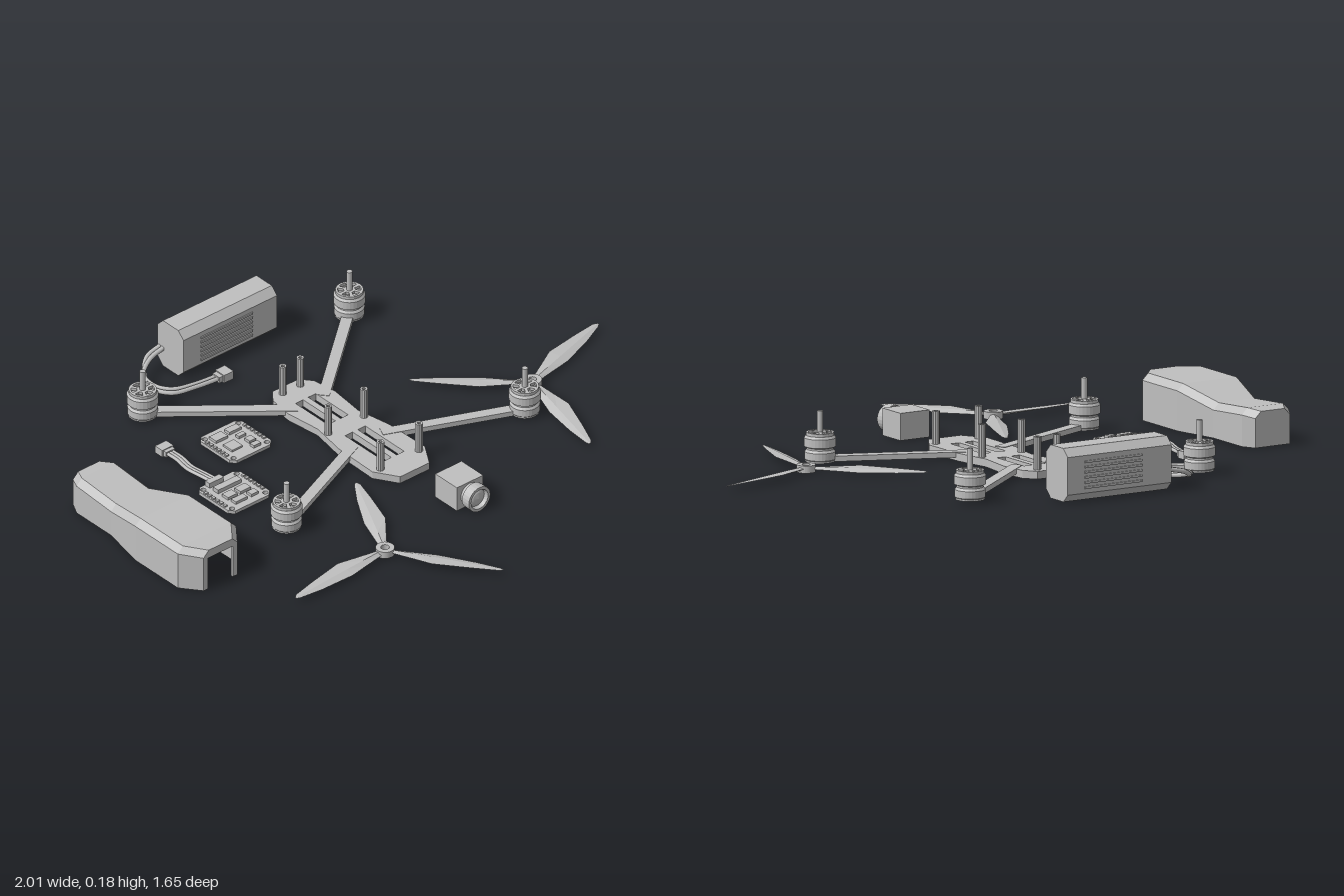
import * as THREE from 'three';

const grey = new THREE.MeshStandardMaterial({ color: 0xbfbfbf });
grey.name = 'light grey';

function add(parent, name, geo, x = 0, y = 0, z = 0) {
  const m = new THREE.Mesh(geo, grey);
  m.name = name;
  m.position.set(x, y, z);
  parent.add(m);
  return m;
}
function group(parent, name, x = 0, y = 0, z = 0) {
  const g = new THREE.Group();
  g.name = name;
  g.position.set(x, y, z);
  parent.add(g);
  return g;
}
const box = (w, h, d) => new THREE.BoxGeometry(w, h, d);
const cyl = (r, h, n = 24) => new THREE.CylinderGeometry(r, r, h, n);
const lathe = (pts, n = 28) => {
  const g = new THREE.LatheGeometry(pts.map(p => new THREE.Vector2(...p)), n).toNonIndexed();
  g.computeVertexNormals();
  return g;
};

// Joins matching cross-section loops; faceted, with both ends closed
function loft(sections) {
  const pos = [], n = sections[0].length, last = sections.length - 1;
  const quad = (a, b, c, d) => pos.push(...a, ...b, ...c, ...a, ...c, ...d);
  for (let i = 0; i < last; i++) for (let j = 0; j < n; j++) {
    const k = (j + 1) % n;
    quad(sections[i][j], sections[i][k], sections[i + 1][k], sections[i + 1][j]);
  }
  for (let k = 0; k < n / 2 - 1; k++) {
    const q = [k, k + 1, n - 2 - k, n - 1 - k];
    quad(...q.map(i => sections[last][i]));
    quad(...q.reverse().map(i => sections[0][i]));
  }
  const g = new THREE.BufferGeometry();
  g.setAttribute('position', new THREE.Float32BufferAttribute(pos, 3));
  g.computeVertexNormals();
  return g;
}

// Horizontal slab from a shape drawn in x and z
function slab(shape, y0, y1) {
  const g = new THREE.ExtrudeGeometry(shape, { depth: y1 - y0, bevelEnabled: false, curveSegments: 8 });
  return g.rotateX(Math.PI / 2).translate(0, y1, 0);
}
const poly = pts => new THREE.Shape(pts.map(p => new THREE.Vector2(...p)));
const rect = (x0, z0, x1, z1) => new THREE.Path([[x0, z0], [x1, z0], [x1, z1], [x0, z1]].map(p => new THREE.Vector2(...p)));
const hole = (x, z, r) => new THREE.Path().absarc(x, z, r, 0, Math.PI * 2);
function tube(pts, r) {
  const c = new THREE.CatmullRomCurve3(pts.map(p => new THREE.Vector3(...p)));
  return new THREE.TubeGeometry(c, 40, r, 8);
}

// Bell motor with spoked cap and shaft
function motor(parent, x, z) {
  const g = group(parent, 'motor', x, 0, z);
  add(g, 'motorBody', lathe([[0, .014], [.044, .014], [.05, .022], [.05, .046], [.044, .054], [.044, .06],
    [.052, .064], [.052, .092], [.046, .1], [.036, .1], [.036, .094], [0, .094]]));
  const cap = new THREE.Shape().absarc(0, 0, .046, 0, Math.PI * 2);
  for (let i = 0; i < 6; i++) {
    const a = i * Math.PI / 3, p = new THREE.Path();
    p.absarc(0, 0, .038, a + .16, a + .88, false);
    p.absarc(0, 0, .019, a + .8, a + .24, true);
    p.closePath();
    cap.holes.push(p);
  }
  add(g, 'motorCap', slab(cap, .1, .11));
  add(g, 'motorShaft', cyl(.01, .09, 12), 0, .135, 0);
}

// Three twisted blades on a pierced hub; s sets the handedness
function propeller(parent, x, z, angle, s) {
  const g = group(parent, 'propeller', x, .02, z);
  const prof = [[.022, .012, .012, .006], [.1, .028, .02, .006], [.17, .043, .028, .005], [.3, .026, .02, .003], [.385, .012, .008, .0015], [.398, .004, .003, .001]];
  const blade = loft(prof.map(([r, a, b, t]) => {
    const zp = s > 0 ? b : a, zn = s > 0 ? a : b, k = .16 * s;
    return [[r, t, 0], [r, -zp * k, zp], [r, -t, 0], [r, zn * k, -zn]];
  }));
  for (let i = 0; i < 3; i++) add(g, 'blade', blade).rotation.y = angle + i * Math.PI * 2 / 3;
  add(g, 'propellerHub', lathe([[.014, -.012], [.031, -.012], [.031, .012], [.014, .012], [.014, -.012]]));
}

// Circuit board with corner holes, chips and edge pads
function board(parent, x, z, chips) {
  const g = group(parent, 'circuitBoard', x, 0, z), h = .089, c = .018;
  const s = poly([[-h + c, -h], [h - c, -h], [h, -h + c], [h, h - c], [h - c, h], [-h + c, h], [-h, h - c], [-h, -h + c]]);
  for (const a of [-1, 1]) for (const b of [-1, 1]) s.holes.push(hole(a * .071, b * .071, .009));
  add(g, 'boardPlate', slab(s, .006, .018));
  for (const a of [-1, 1]) for (let i = 0; i < 6; i++) add(g, 'edgePad', box(.012, .006, .01), a * .079, .02, -.048 + i * .019);
  for (const [cx, cz, w, d, t = .01] of chips) add(g, 'chip', box(w, t, d), cx, .018 + t / 2, cz);
}

export function createModel() {
  const model = new THREE.Group();
  model.name = 'quadcopterParts';

  // Slotted frame plate
  const frame = group(model, 'frame');
  const half = [[.055, -.43], [.088, -.39], [.1, -.3], [.085, -.17], [.108, -.04], [.112, .13], [.062, .21]];
  const plate = poly([...half, ...half.map(([x, z]) => [-x, z]).reverse()]);
  for (const [a, b] of [[-.043, -.011], [.011, .043]]) plate.holes.push(rect(a, -.33, b, -.17), rect(a, -.085, b, .107));
  add(frame, 'framePlate', slab(plate, .004, .03));

  // Arms, motors and standoffs, mirrored
  for (const s of [-1, 1]) {
    for (const [x0, z0, x1, z1] of [[.055, -.305, .44, -.625], [.06, -.025, .507, .165]]) {
      const dx = s * (x1 - x0), dz = z1 - z0;
      const arm = add(frame, 'arm', box(Math.hypot(dx, dz), .018, .038), s * (x0 + x1) / 2, .0225, (z0 + z1) / 2);
      arm.rotation.y = Math.atan2(-dz, dx);
      add(frame, 'motorMount', cyl(.048, .012), s * x1, .0195, z1);
      motor(model, s * x1, z1);
    }
    for (const [x, z] of [[.037, -.4], [.076, -.13], [.082, .135]])
      add(frame, 'standoff', lathe([[0, .028], [.013, .028], [.013, .138], [.006, .138], [.006, .126], [0, .126]], 10), s * x, 0, z);
  }

  propeller(model, .625, .065, 17 * Math.PI / 180, 1);
  propeller(model, -.365, .487, 183 * Math.PI / 180, -1);

  // Hollow canopy with a notch in its front wall
  const canopy = group(model, 'canopy', -.876);
  const y0 = .006, b = .022, t = .01;
  const arch = (w, h, z, bev = b) => [[w, y0, z], [w, h - bev, z], [w - bev, h, z], [-w + bev, h, z], [-w, h - bev, z], [-w, y0, z]];
  const ring = (w, h, z) => [...arch(w, h, z), ...arch(w - t, h - t, z).reverse()];
  add(canopy, 'canopyShell', loft([[.067, .125, -.385], [.09, .132, -.34], [.09, .12, -.17], [.124, .16, -.01], [.124, .16, .2], [.072, .155, .267]]
    .map(([w, h, z]) => ring(w, h, z))));
  add(canopy, 'canopyBack', loft([arch(.066, .124, -.384), arch(.07, .124, -.374)]));
  const notch = z => arch(.053, .125, z, .002).reverse();
  add(canopy, 'canopyFront', loft([[...arch(.078, .154, .257), ...notch(.257)], [...arch(.0715, .1545, .2665), ...notch(.2665)]]));

  // Battery with ribbed sides and a two-wire lead
  const battery = group(model, 'battery');
  const hy = .088, hz = .064, c = .026;
  const oct = [[hy, -hz + c], [hy, hz - c], [hy - c, hz], [-hy + c, hz], [-hy, hz - c], [-hy, -hz + c], [-hy + c, -hz], [hy - c, -hz]];
  add(battery, 'batteryCase', loft([-.203, .195].map(x => oct.map(([y, z]) => [x, .094 + y, -.762 + z]))));
  for (const s of [-1, 1]) for (let i = 0; i < 6; i++)
    add(battery, 'batteryRib', box(.22, .007, .008), -s * .02, .05 + i * .017, -.762 + s * hz);
  for (const o of [-.008, .008])
    add(battery, 'batteryWire', tube([[-.195, .075, -.81 + o], [-.26, .06, -.805 + o], [-.31 - o, .04, -.77 + o],
      [-.325 + o, .025, -.71], [-.29 + o, .02, -.655 - o], [-.21, .02, -.63 - o], [-.12, .02, -.618 - o]], .008));
  add(battery, 'batteryPlug', box(.04, .03, .044), -.098, .02, -.618);
  add(battery, 'plugCollar', box(.018, .022, .034), -.125, .02, -.618);

  // Camera block with stepped, recessed lens
  const camera = group(model, 'camera', .028, .05, 0);
  add(camera, 'cameraBody', box(.112, .09, .107), 0, 0, .397);
  add(camera, 'cameraLens', lathe([[0, 0], [.039, 0], [.039, .016], [.046, .016], [.046, .05], [.036, .05], [.032, .036], [.02, .042], [0, .046]], 24), 0, 0, .448)
    .rotation.x = Math.PI / 2;

  // Circuit boards and the cable on one of them
  board(model, -.51, -.09, [[-.03, .012, .04, .03], [.025, .012, .044, .03], [-.022, .05, .05, .024], [.035, .05, .03, .024], [0, -.035, .1, .026, .014], [-.02, -.075, .06, .022, .018]]);
  board(model, -.317, -.307, [[-.035, -.045, .05, .035], [.03, -.05, .05, .026], [.035, .03, .026, .026], [.03, .062, .03, .02], [-.03, .02, .045, .045, .007], [.028, -.008, .03, .016]]);
  const cable = group(model, 'boardCable');
  for (const o of [-.011, 0, .011])
    add(cable, 'cableWire', tube([[-.528 + o, .028, -.155], [-.538 + o, .032, -.21], [-.545 + o, .032, -.27], [-.53 + o, .026, -.34], [-.527 + o, .022, -.4]], .006));
  add(cable, 'cablePlug', box(.048, .026, .036), -.527, .022, -.417);
  add(cable, 'cablePlugCollar', box(.038, .02, .016), -.527, .022, -.393);

  return model;
}
